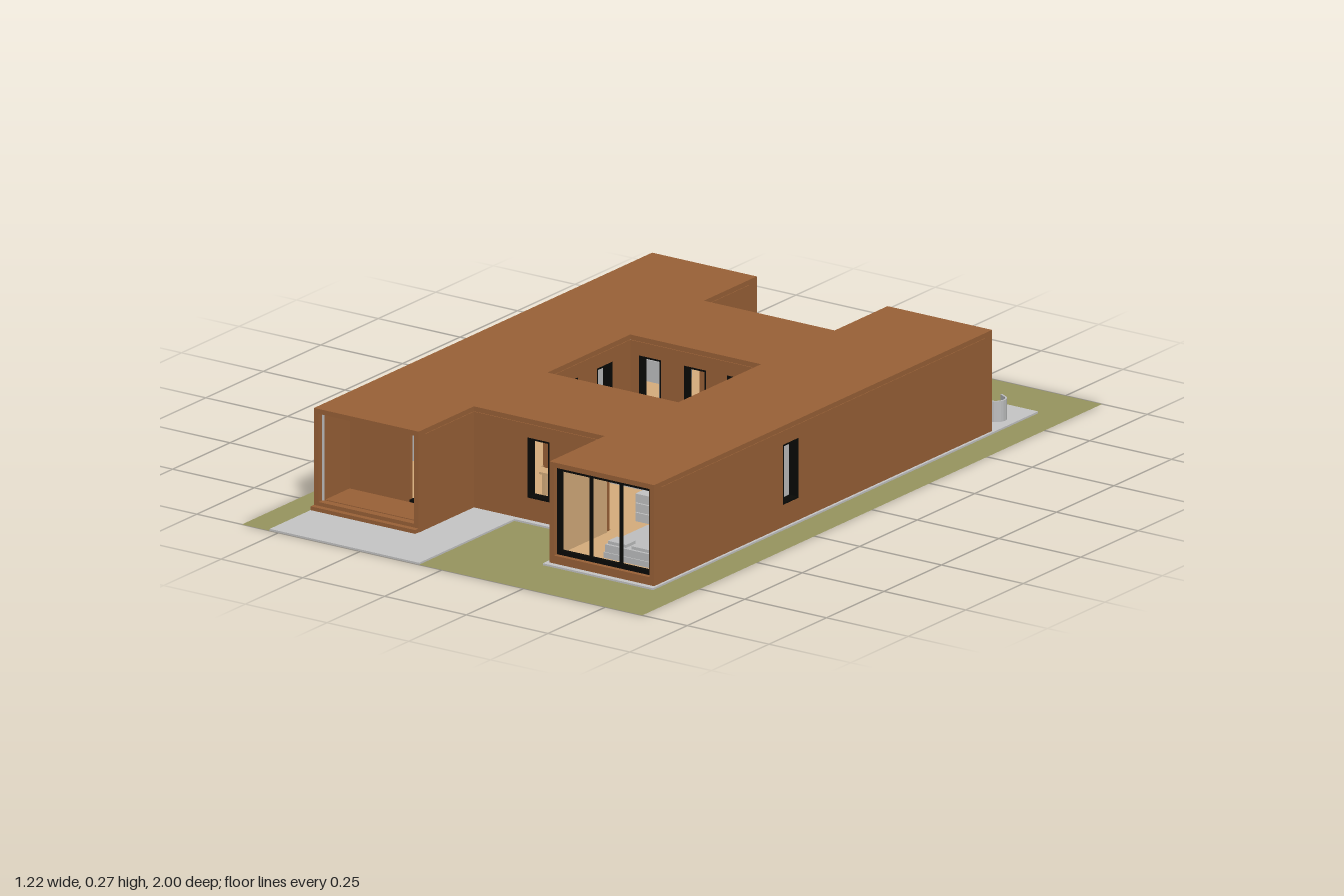
import * as THREE from 'three';

const mat = (name, color) => Object.assign(new THREE.MeshStandardMaterial({ color }), { name });
const brown = mat('brown cladding', 0x9a6137);
const grass = mat('grass', 0x97955f);
grass.side = THREE.DoubleSide;
const paving = mat('paving grey', 0xc6c6c6);
const wood = mat('light wood', 0xd6ad7c);
const black = mat('black frame', 0x080906);
const plaster = mat('plaster grey', 0xc4c4c4);
const fabric = mat('fabric grey', 0xbfc0c1);

const Y0 = 0.02, Y1 = 0.258, ROOF = 0.272;

function add(parent, name, geo, material, x = 0, y = 0, z = 0) {
  const m = new THREE.Mesh(geo, material);
  m.name = name;
  m.position.set(x, y, z);
  parent.add(m);
  return m;
}

// Box given by its limits
function block(parent, name, material, x0, x1, y0, y1, z0, z1) {
  return add(parent, name, new THREE.BoxGeometry(x1 - x0, y1 - y0, z1 - z0), material,
    (x0 + x1) / 2, (y0 + y1) / 2, (z0 + z1) / 2);
}

const path = (pts) => pts.map(([x, y]) => new THREE.Vector2(x, y));
const rect = (x0, x1, y0, y1) => [[x0, y0], [x1, y0], [x1, y1], [x0, y1]];

function extrude(outline, holes, depth) {
  const s = new THREE.Shape(path(outline));
  s.holes = holes.map((h) => new THREE.Path(path(h)));
  return new THREE.ExtrudeGeometry(s, { depth, bevelEnabled: false });
}

// Horizontal slab from an x/z outline
function slab(parent, name, material, outline, hole, y0, y1) {
  const flip = (pts) => pts.map(([x, z]) => [x, -z]);
  const geo = extrude(flip(outline), [flip(hole)], y1 - y0).rotateX(-Math.PI / 2);
  return add(parent, name, geo, material, 0, y0, 0);
}

// House outline pulled in by e; each side faces outward
const outline = (e) => [
  [0.195 + e, 0.81 - e], [0.515 - e, 0.81 - e], [0.515 - e, -0.66 + e], [0.195 + e, -0.66 + e],
  [0.195 + e, -0.43 + e], [-0.205 - e, -0.43 + e], [-0.205 - e, -0.66 + e], [-0.525 + e, -0.66 + e],
  [-0.525 + e, 0.81 - e], [-0.205 - e, 0.81 - e], [-0.205 - e, 0.57 - e], [0.195 + e, 0.57 - e]];
const court = (e) => [
  [-0.205 - e, 0.25 + e], [-0.205 - e, -0.11 - e], [0.195 + e, -0.11 - e], [0.195 + e, 0.25 + e]];

// Black rectangular frame, optionally with mullions
function frame(parent, x0, x1, y0, y1, bar, depth, z, mullions = []) {
  const g = extrude(rect(x0, x1, y0, y1), [rect(x0 + bar, x1 - bar, y0 + bar, y1 - bar)], depth);
  add(parent, 'windowFrame', g, black, 0, 0, z);
  for (const m of mullions)
    block(parent, 'mullion', black, m - 0.0025, m + 0.0025, y0 + bar, y1 - bar, z, z + depth);
}

// Wall from a to b, with slit windows, a glazed end or an open porch end
function wall(parent, a, b, spec, lining) {
  const len = Math.hypot(b[0] - a[0], b[1] - a[1]);
  const g = new THREE.Group();
  g.name = 'wall';
  g.position.set(a[0], 0, a[1]);
  g.rotation.y = Math.atan2(a[1] - b[1], b[0] - a[0]);
  parent.add(g);
  if (spec === 'glazed' || spec === 'porch') {
    const hole = rect(0.014, len - 0.014, 0.026, 0.259);
    add(g, 'endSurround', extrude(rect(0, len, Y0, ROOF - 0.001), [hole], 0.03), brown, 0, 0, -0.03);
    if (spec === 'glazed') frame(g, 0.014, len - 0.014, 0.026, 0.259, 0.011, 0.012, -0.025, [0.115, 0.207]);
    return;
  }
  const holes = spec.map((c) => rect(c - 0.034, c + 0.034, 0.063, 0.222));
  add(g, 'outerWall', extrude(rect(0, len, Y0, Y1), holes, 0.014), brown, 0, 0, -0.014);
  add(g, 'innerLining', extrude(rect(0.015, len - 0.015, Y0, Y1), holes, 0.004), lining, 0, 0, -0.018);
  for (const c of spec) frame(g, c - 0.034, c + 0.034, 0.063, 0.222, 0.005, 0.0255, -0.026);
}

// Partition across a wing, with an optional doorway
function partition(parent, name, material, x0, x1, z, door) {
  const holes = door ? [rect(door[0], door[1], 0.027, door[2])] : [];
  add(parent, name, extrude(rect(x0, x1, 0.023, Y1), holes, 0.012), material, 0, 0, z);
}

function tubChair(parent, x, z, turn) {
  const c = new THREE.Group();
  c.name = 'chair';
  c.position.set(x, 0.005, z);
  c.rotation.y = turn;
  parent.add(c);
  // Rounded back at -x, open towards +x
  const d = (r, front) => {
    const pts = [[front, -r], [front, r]];
    for (let i = 0; i <= 10; i++) {
      const t = Math.PI / 2 + (Math.PI * i) / 10;
      pts.push([r * Math.cos(t), r * Math.sin(t)]);
    }
    return pts;
  };
  add(c, 'chairSeat', extrude(d(0.025, 0.025), [], 0.028).rotateX(-Math.PI / 2), fabric);
  const arc = d(0.028, 0.02).slice(2), inner = d(0.023, 0.02).slice(2).reverse();
  const shell = [[0.02, 0.028], ...arc, [0.02, -0.028], [0.02, -0.023], ...inner, [0.02, 0.023]];
  add(c, 'chairBack', extrude(shell, [], 0.055).rotateX(-Math.PI / 2), fabric);
}

function roundTable(parent, x, z) {
  add(parent, 'tableTop', new THREE.CylinderGeometry(0.031, 0.031, 0.005, 24), wood, x, 0.044, z);
  add(parent, 'tableLeg', new THREE.CylinderGeometry(0.005, 0.005, 0.038, 8), wood, x, 0.024, z);
  add(parent, 'tableFoot', new THREE.CylinderGeometry(0.016, 0.016, 0.003, 16), wood, x, 0.0075, z);
}

// Bed with its head towards +z
function bed(parent, x0, x1, z0, z1) {
  block(parent, 'bedBase', fabric, x0, x1, 0.025, 0.04, z0, z1);
  block(parent, 'mattress', fabric, x0 + 0.003, x1 - 0.003, 0.04, 0.06, z0 + 0.003, z1 - 0.003);
  const mid = (x0 + x1) / 2;
  for (const s of [-1, 1])
    block(parent, 'pillow', fabric, mid + s * 0.036 - 0.028, mid + s * 0.036 + 0.028, 0.06, 0.068, z1 - 0.05, z1 - 0.01);
}

export function createModel() {
  const root = new THREE.Group();
  root.name = 'courtyardHouse';

  // Lawn sheet and paving
  add(root, 'lawn', new THREE.PlaneGeometry(1.224, 2).rotateX(-Math.PI / 2), grass);
  slab(root, 'pavedSlab', paving, [
    [-0.527, 1], [-0.07, 1], [-0.07, 0.586], [0.185, 0.586], [0.185, 0.825], [0.522, 0.825],
    [0.522, -0.85], [0.185, -0.85], [0.185, -0.46], [-0.2, -0.46], [-0.2, -0.85], [-0.527, -0.85]],
  [[-0.092, 0.244], [0.185, 0.244], [0.185, -0.1], [-0.092, -0.1]], 0, 0.005);

  // Plinth, floor, ceiling and roof
  slab(root, 'plinth', brown, outline(0), court(0), 0.005, Y0);
  slab(root, 'floor', wood, outline(0.012), court(0.012), Y0, 0.025);
  slab(root, 'ceiling', plaster, outline(0.031), court(0.012), 0.254, Y1);
  slab(root, 'roof', brown, outline(0), court(0), Y1 + 0.001, ROOF);
  block(root, 'porchStep', brown, -0.525, -0.205, 0.006, 0.016, 0.81, 0.825);

  // Outer walls: numbers are window centres along the wall
  const o = outline(0);
  const specs = ['glazed', [0.595], 'glazed', [], [], [], 'glazed',
    [0.2, 0.33, 0.47, 0.61, 1.01], 'porch', [], [0.198], []];
  const woodLined = [4, 11];
  o.forEach((p, i) => wall(root, p, o[(i + 1) % o.length], specs[i], woodLined.includes(i) ? wood : plaster));

  // Courtyard walls
  const c = court(0);
  const courtSpecs = [[0.1, 0.25], [0.06, 0.198, 0.33], [0.1, 0.25], [0.07, 0.202, 0.34]];
  c.forEach((p, i) => wall(root, p, c[(i + 1) % 4], courtSpecs[i], i === 2 ? wood : plaster));

  // Recessed front porch with a glazed door
  partition(root, 'porchBackWall', brown, -0.511, -0.219, 0.67, [-0.322, -0.225, 0.254]);
  block(root, 'doorSill', black, -0.322, -0.225, 0.026, 0.034, 0.667, 0.683);
  block(root, 'doorJamb', black, -0.23, -0.224, 0.026, 0.222, 0.667, 0.683);
  block(root, 'porchFloor', brown, -0.51, -0.22, 0.024, 0.028, 0.684, 0.79);
  block(root, 'porchCeiling', brown, -0.51, -0.22, 0.251, 0.2555, 0.684, 0.79);
  block(root, 'porchSide', brown, -0.509, -0.505, 0.026, 0.255, 0.68, 0.79);
  block(root, 'porchSide', brown, -0.225, -0.221, 0.026, 0.255, 0.684, 0.79);

  // Room partitions
  for (const z of [0.4, -0.28])
    partition(root, 'leftPartition', plaster, -0.507, -0.223, z, [-0.322, -0.228, 0.222]);
  for (const z of [0.42, 0.1, -0.3])
    partition(root, 'rightPartition', plaster, 0.213, 0.497, z);
  block(root, 'innerDoor', plaster, 0.222, 0.3, 0.026, 0.224, 0.432, 0.436);

  // Bedrooms
  bed(root, 0.318, 0.458, 0.56, 0.75);
  block(root, 'nightstand', wood, 0.463, 0.495, 0.025, 0.06, 0.7, 0.74);
  for (let i = 0; i < 3; i++)
    block(root, 'dresserDrawer', plaster, 0.222, 0.298, 0.026 + i * 0.025, 0.049 + i * 0.025, 0.437, 0.475);
  bed(root, 0.29, 0.485, -0.61, -0.4);

  // Living room sofa and low table
  block(root, 'sofaSeat', fabric, -0.49, -0.305, 0.025, 0.052, -0.52, -0.43);
  block(root, 'sofaBack', fabric, -0.49, -0.305, 0.052, 0.082, -0.45, -0.43);
  for (const x of [-0.49, -0.32])
    block(root, 'sofaArm', fabric, x, x + 0.015, 0.052, 0.066, -0.52, -0.45);
  block(root, 'lowTable', wood, -0.45, -0.36, 0.025, 0.045, -0.6, -0.55);

  // Dining table in the front link
  block(root, 'diningTop', wood, -0.09, 0.08, 0.082, 0.088, 0.38, 0.45);
  for (const x of [-0.085, 0.065])
    block(root, 'diningLeg', wood, x, x + 0.01, 0.025, 0.082, 0.385, 0.445);
  block(root, 'diningTray', black, -0.027, 0.018, 0.09, 0.105, 0.4, 0.43);

  // Terrace furniture
  roundTable(root, 0.4, -0.74);
  tubChair(root, 0.332, -0.743, 0.5);
  tubChair(root, 0.468, -0.743, Math.PI - 0.5);
  roundTable(root, -0.157, 0.118);
  tubChair(root, -0.168, 0.05, -Math.PI / 2 + 0.5);
  tubChair(root, -0.168, 0.184, Math.PI / 2 - 0.5);

  return root;
}
